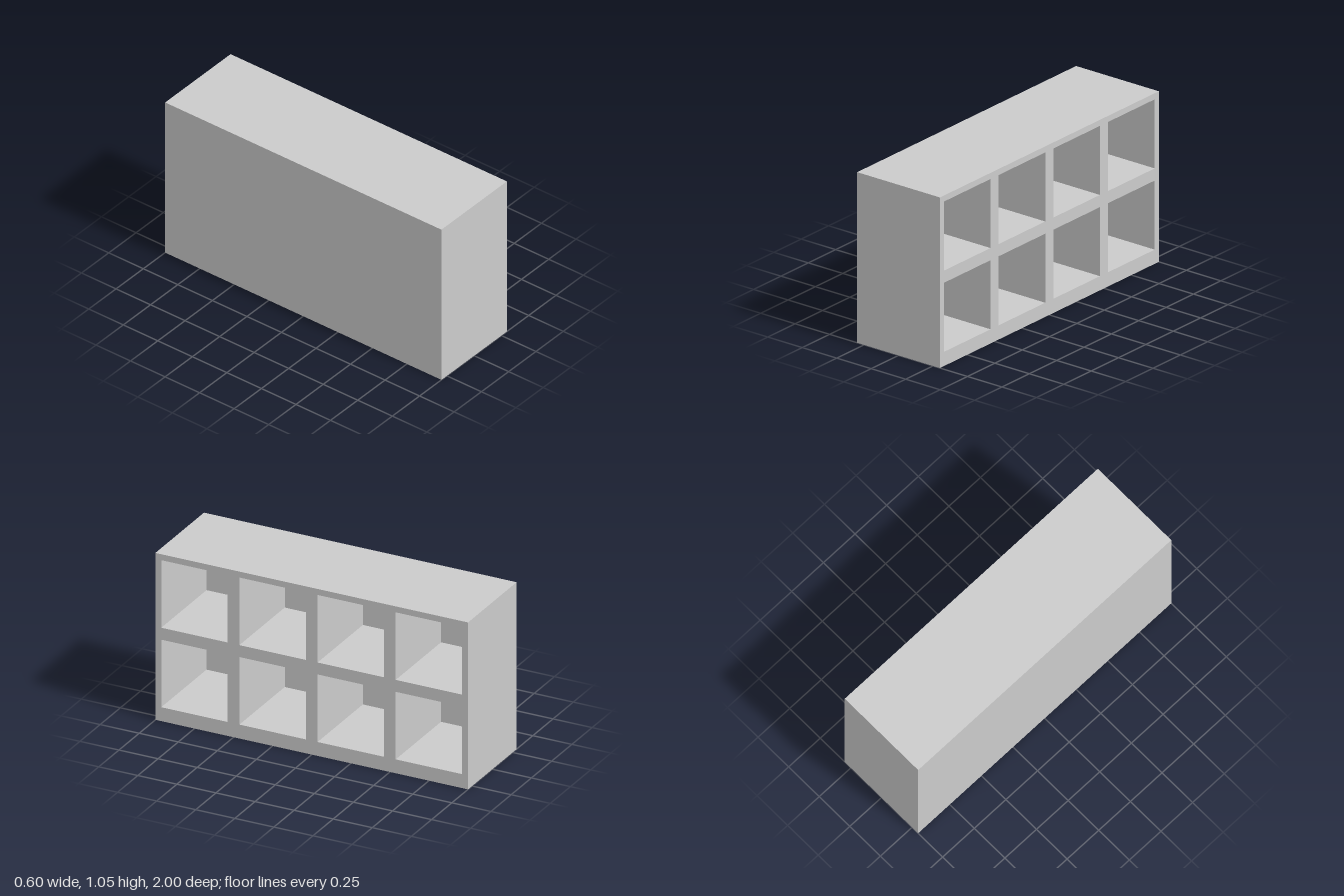
import * as THREE from 'three';

const WIDTH = 2, HEIGHT = 1.05, DEPTH = 0.6;
const EDGE = 0.0375;        // thickness of outer walls; dividers are double
const CELL = 0.425;         // side of each square opening
const PITCH = CELL + 2 * EDGE;
const BACK = 0.04;          // thickness of the closed back

function rectangle(PathType, x, y, w, h) {
  return new PathType([
    new THREE.Vector2(x, y), new THREE.Vector2(x + w, y),
    new THREE.Vector2(x + w, y + h), new THREE.Vector2(x, y + h),
  ]);
}

export function createModel() {
  const group = new THREE.Group();
  group.name = 'cubbyShelf';
  const material = new THREE.MeshStandardMaterial({ color: 0xcccccc, flatShading: true });

  // Frame: outer walls and dividers around a 4 x 2 grid of openings
  const outline = rectangle(THREE.Shape, -WIDTH / 2, 0, WIDTH, HEIGHT);
  for (let row = 0; row < 2; row++) {
    for (let col = 0; col < 4; col++) {
      const x = -WIDTH / 2 + EDGE + col * PITCH;
      const y = HEIGHT - EDGE - CELL - row * PITCH;
      outline.holes.push(rectangle(THREE.Path, x, y, CELL, CELL));
    }
  }
  const frameGeometry = new THREE.ExtrudeGeometry(outline, { depth: DEPTH - BACK, bevelEnabled: false });
  frameGeometry.rotateY(Math.PI / 2); // openings face +x
  const frame = new THREE.Mesh(frameGeometry, material);
  frame.name = 'shelfFrame';
  frame.position.x = -DEPTH / 2 + BACK;

  // Solid panel closing the compartments on the -x side
  const back = new THREE.Mesh(new THREE.BoxGeometry(BACK, HEIGHT, WIDTH), material);
  back.name = 'backPanel';
  back.position.set(-DEPTH / 2 + BACK / 2, HEIGHT / 2, 0);

  group.add(frame, back);
  return group;
}
